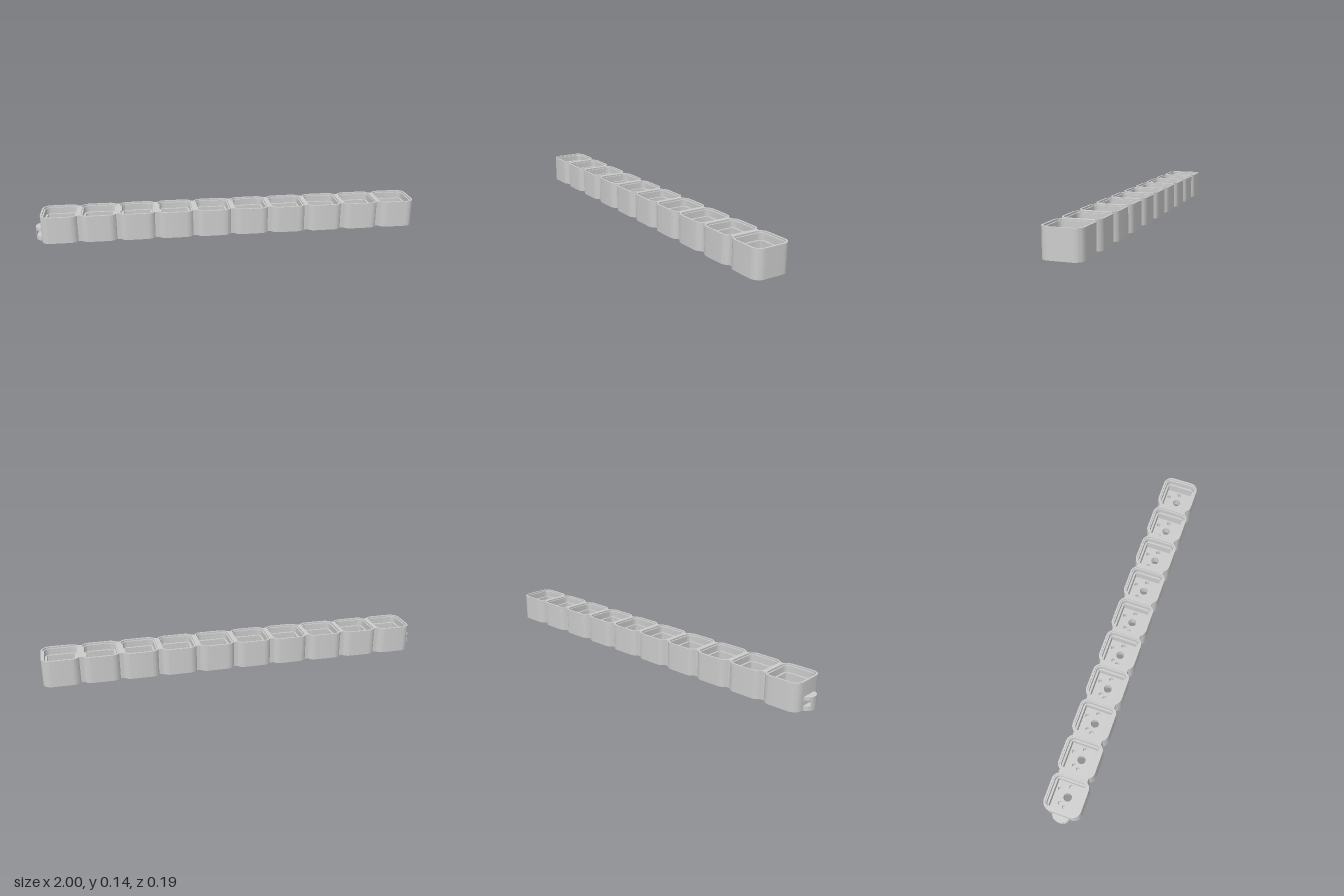
import * as THREE from 'three';
import { toCreasedNormals } from 'three/addons/utils/BufferGeometryUtils.js';

const COUNT = 10, PITCH = 0.1973, HALF = 0.096, R = 0.045;
const centres = Array.from({ length: COUNT }, (_, i) => 1 - HALF - (COUNT - 1 - i) * PITCH);
const material = new THREE.MeshStandardMaterial({ color: 0xcccccc, side: THREE.DoubleSide });

// Scalloped plan outline of the whole strip, shallow notches between cells
function stripOutline() {
  const s = new THREE.Shape(), c = HALF - R, notch = Math.asin((0.075 - c) / R), q = Math.PI / 2;
  centres.forEach((x, i) => { // near side, left to right
    s.absarc(x - c, -c, R, i === 0 ? Math.PI : Math.PI + notch, 3 * q, false);
    s.absarc(x + c, -c, R, 3 * q, i === COUNT - 1 ? 4 * q : 4 * q - notch, false);
  });
  [...centres].reverse().forEach((x, i) => { // far side, right to left
    s.absarc(x + c, c, R, i === 0 ? 0 : notch, q, false);
    s.absarc(x - c, c, R, q, i === COUNT - 1 ? 2 * q : 2 * q - notch, false);
  });
  s.closePath();
  return s;
}

function roundedSquare(x, half, r) {
  const p = new THREE.Path(), c = half - r, q = Math.PI / 2;
  [[1, 1], [-1, 1], [-1, -1], [1, -1]].forEach(([sx, sy], i) =>
    p.absarc(x + sx * c, sy * c, r, i * q, (i + 1) * q, false));
  p.closePath();
  return p;
}

const roundHole = (x, y, r) => new THREE.Path().absarc(x, y, r, 0, Math.PI * 2, true);

// Extrude a plan shape upward from y0 to y1
function addSlab(group, name, shape, y0, y1) {
  let geo = new THREE.ExtrudeGeometry(shape, { depth: y1 - y0, bevelEnabled: false, curveSegments: 10 });
  geo.rotateX(-Math.PI / 2);
  geo.translate(0, y0, 0);
  geo = toCreasedNormals(geo, 0.6);
  const mesh = new THREE.Mesh(geo, material);
  mesh.name = name;
  group.add(mesh);
}

export function createModel() {
  const model = new THREE.Group();
  model.name = 'socketStrip';

  // Layers of the body, each with its own opening per cell
  const pins = [[-0.0526, 0, 0.011], [0.0526, 0, 0.011], [-0.039, 0.026, 0.01], [0.026, 0.052, 0.01]];
  const layers = [
    ['base', 0, 0.015, x => [roundHole(x, 0, 0.021)]],
    ['socketFloor', 0.015, 0.05, x => [roundHole(x, 0, 0.021),
      ...pins.map(([px, py, r]) => roundHole(x + px, py, r))]],
    ['socketWalls', 0.05, 0.1, x => [roundedSquare(x, 0.07, 0.004)]],
    ['recessWalls', 0.1, 0.132, x => [roundedSquare(x, 0.08, 0.025)]],
    ['rim', 0.132, 0.14, x => [roundedSquare(x, 0.087, 0.034)]],
  ];
  for (const [name, y0, y1, holes] of layers) {
    const shape = stripOutline();
    shape.holes = centres.flatMap(holes);
    addSlab(model, name, shape, y0, y1);
  }

  // Rounded cable tab on the end: two plates joined by an outer bridge
  const tab = new THREE.Group();
  tab.name = 'cableTab';
  const wall = centres[0] - HALF;
  const plate = new THREE.Shape();
  plate.moveTo(wall + 0.005, 0.042);
  plate.lineTo(wall, 0.042);
  plate.absellipse(wall, 0, 1 + wall, 0.042, Math.PI / 2, 1.5 * Math.PI, false);
  plate.lineTo(wall + 0.005, -0.042);
  addSlab(tab, 'lowerPlate', plate, 0, 0.022);
  addSlab(tab, 'upperPlate', plate, 0.05, 0.066);
  const bridge = new THREE.Shape();
  bridge.absellipse(wall, 0, 1 + wall, 0.042, Math.PI * 0.8, Math.PI * 1.2, false);
  bridge.closePath();
  addSlab(tab, 'bridge', bridge, 0.022, 0.05);
  model.add(tab);

  return model;
}
